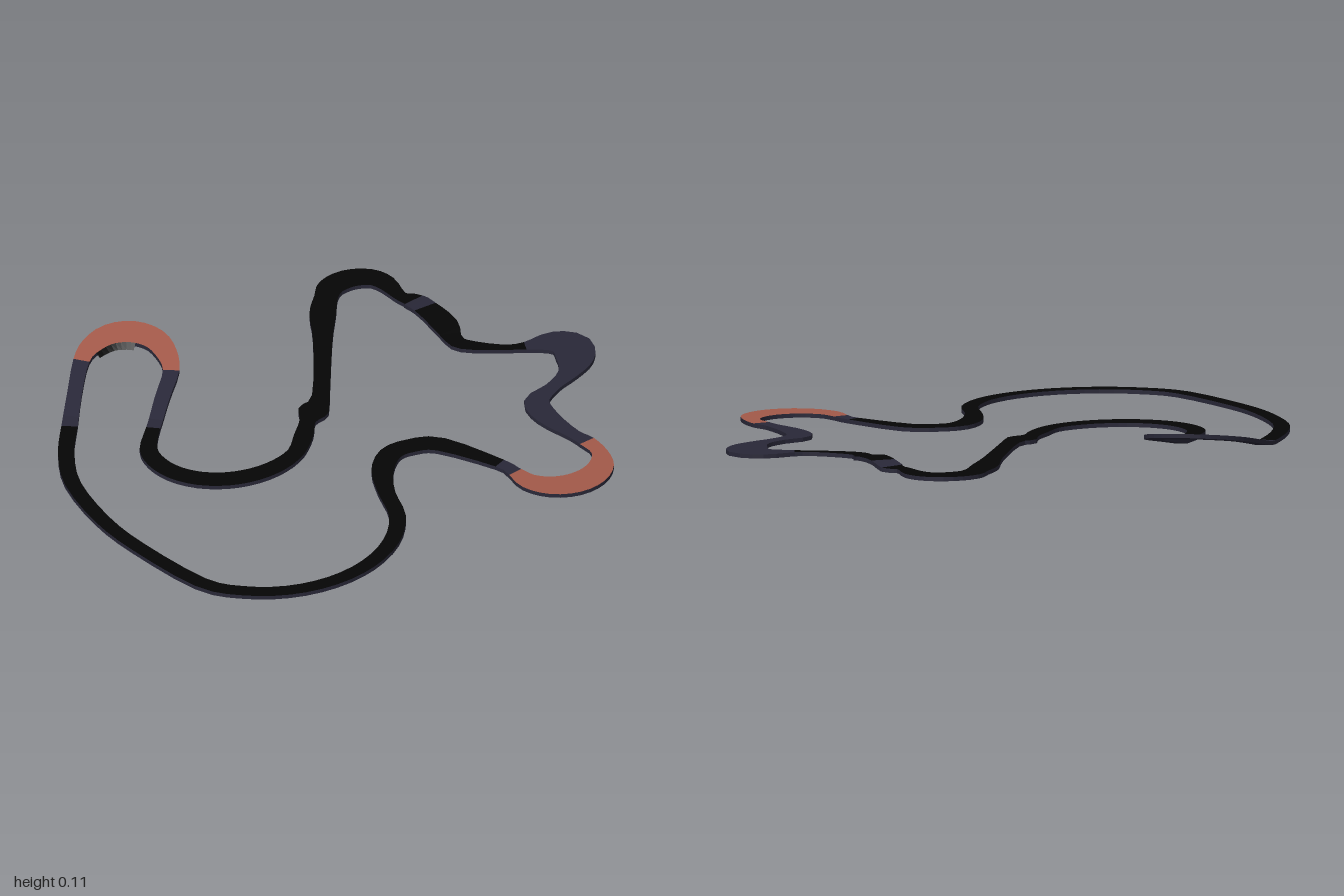
import * as THREE from 'three';

const THICK = 0.014; // slab thickness
const STEPS = 3; // cross-sections per station

const asphalt = new THREE.MeshStandardMaterial({ name: 'black asphalt', color: 0x050505 });
const slate = new THREE.MeshStandardMaterial({ name: 'slate', color: 0x292838 });
const clay = new THREE.MeshStandardMaterial({ name: 'clay brown', color: 0xa35949 });

// Elliptical bend: stations [x, z, width], widest in the middle; angles in degrees
function bend(cx, cz, rx, rz, from, to, n, endWidth, midWidth) {
  return Array.from({ length: n + 1 }, (_, i) => {
    const a = THREE.MathUtils.degToRad(from + (to - from) * i / n);
    const w = endWidth + (midWidth - endWidth) * Math.sin(Math.PI * i / n);
    return [cx + rx * Math.cos(a), cz + rz * Math.sin(a), w];
  });
}

// Underside height: the tilted plane of the raised hairpin, the small jump ramp, else flat
function height(x, z) {
  if (x < -0.15 && z < -0.3) return Math.max(0, 0.117 * x - 0.163 * z - 0.007);
  if (x > 0.58) return Math.max(0, 0.016 * (1 - ((z + 0.33) / 0.13) ** 2));
  return 0;
}

// Cross-section corners: top left, top right, bottom right, bottom left, left shoulder
function makeProfiles(stations) {
  const path = new THREE.CatmullRomCurve3(
    stations.map(([x, z, w = 0.055]) => new THREE.Vector3(x, w, z)), true, 'catmullrom', 0.5);
  const count = stations.length * STEPS;
  return Array.from({ length: count }, (_, i) => {
    const p = path.getPoint(i / count);
    const t = path.getTangent(i / count).setY(0).normalize();
    const corner = (side, lift) => {
      const x = p.x - t.z * side * p.y / 2;
      const z = p.z + t.x * side * p.y / 2;
      return [x, height(x, z) + lift, z];
    };
    return [corner(-1, THICK), corner(1, THICK), corner(1, 0), corner(-1, 0), corner(-1.4, 0)];
  });
}

// Flat-shaded strips joining corner a to corner b along part of the circuit
function strips(profiles, start, end, pairs) {
  const pos = [];
  for (let i = start; i < end; i++) {
    const p = profiles[i];
    const q = profiles[(i + 1) % profiles.length];
    for (const [a, b] of pairs) pos.push(...p[a], ...p[b], ...q[b], ...p[a], ...q[b], ...q[a]);
  }
  const geometry = new THREE.BufferGeometry();
  geometry.setAttribute('position', new THREE.Float32BufferAttribute(pos, 3));
  geometry.computeVertexNormals();
  return geometry;
}

export function createModel() {
  const model = new THREE.Group();
  model.name = 'raceCircuit';
  const stations = [];
  const sections = [];
  const road = (name, surface, ...points) => {
    const start = stations.length * STEPS;
    stations.push(...points);
    const section = { name, surface, start, end: stations.length * STEPS };
    sections.push(section);
    return section;
  };

  // Stretches in driving order
  road('westSweep', asphalt,
    [-0.72, -0.52], [-0.83, -0.39], [-0.92, -0.23], [-0.97, 0], [-0.973, 0.21],
    ...bend(-0.53, 0.37, 0.43, 0.395, 160, 10, 7, 0.058, 0.055),
    [-0.04, 0.325, 0.075], [0.045, 0.255, 0.08], [0.13, 0.257, 0.08], [0.215, 0.31, 0.08]);
  road('southEntry', slate, [0.305, 0.52, 0.05]);
  road('southHairpin', clay, ...bend(0.467, 0.62, 0.155, 0.15, 190, 16, 6, 0.055, 0.115));
  road('eastBend', slate,
    [0.62, 0.585, 0.06], [0.61, 0.52, 0.05], [0.602, 0.39, 0.082], [0.63, 0.29, 0.085],
    [0.725, 0.25, 0.05], [0.815, 0.215, 0.07], [0.885, 0.16, 0.125], [0.927, 0.085, 0.145],
    [0.89, 0.03, 0.12]);
  road('rampApproach', asphalt,
    [0.8, -0.005, 0.045], [0.73, -0.045, 0.035], [0.64, -0.135, 0.06], [0.635, -0.19, 0.065],
    [0.652, -0.26, 0.095]);
  road('rampLanding', slate, [0.66, -0.38, 0.085]);
  road('northTurnAndDiagonal', asphalt,
    [0.663, -0.45, 0.085], [0.645, -0.5, 0.05],
    ...bend(0.54, -0.597, 0.112, 0.094, 0, -150, 4, 0.08, 0.105),
    [0.37, -0.565, 0.09], [0.27, -0.43, 0.065], [0.07, -0.17, 0.06], [-0.005, -0.11, 0.105],
    [-0.06, -0.07, 0.055], [-0.12, -0.01, 0.065],
    ...bend(-0.34, -0.15, 0.275, 0.24, 60, 205, 7, 0.06, 0.082));
  road('climb', slate, [-0.5, -0.345, 0.048], [-0.385, -0.45, 0.05]);
  const raised = road('raisedHairpin', clay,
    [-0.285, -0.535], ...bend(-0.38, -0.66, 0.14, 0.135, 20, -110, 4, 0.075, 0.1));
  road('descent', slate, [-0.5, -0.75], [-0.61, -0.64, 0.05]);

  const profiles = makeProfiles(stations);
  const add = (name, geometry, material) => {
    const mesh = new THREE.Mesh(geometry, material);
    mesh.name = name;
    model.add(mesh);
  };

  // Road surfaces
  for (const { name, surface, start, end } of sections) {
    add(name, strips(profiles, start, end, [[0, 1]]), surface);
  }

  // Sloping shoulder inside the raised hairpin
  add('innerShoulder', strips(profiles, raised.start + 8, raised.end - 2, [[4, 0]]), asphalt);

  // Side walls and underside
  add('trackBed', strips(profiles, 0, profiles.length, [[1, 2], [2, 3], [3, 0]]), slate);
  return model;
}
